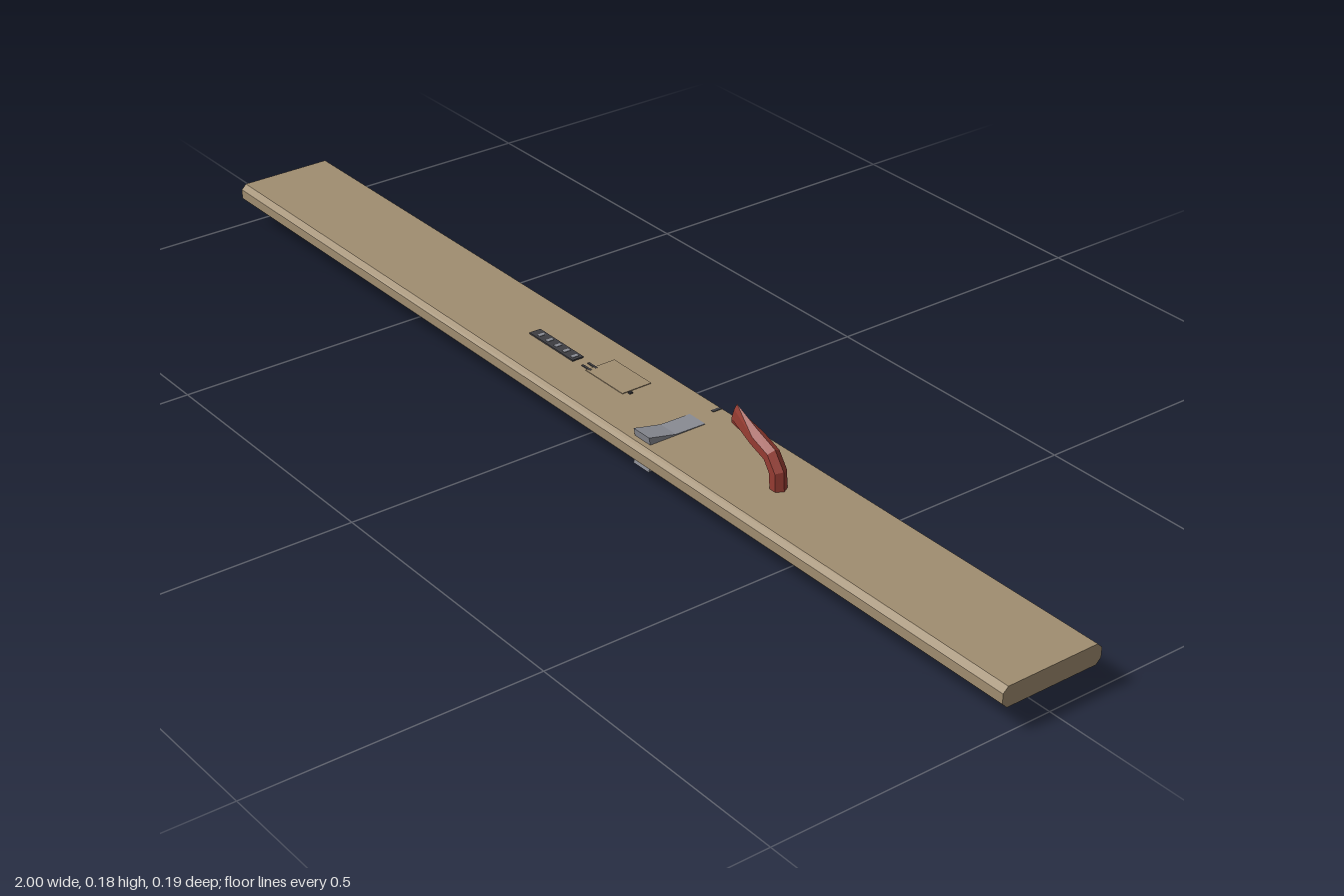
import * as THREE from 'three';

const mat = (name, color, extra = {}) => {
  const m = new THREE.MeshStandardMaterial({ color, ...extra });
  m.name = name;
  return m;
};

// Extrudes a closed outline of [z, y] points along x, between x0 and x1
function extrudeAlongX(outline, x0, x1) {
  const shape = new THREE.Shape(outline.map(([z, y]) => new THREE.Vector2(-z, y)));
  const geo = new THREE.ExtrudeGeometry(shape, { depth: x1 - x0, bevelEnabled: false });
  return geo.rotateY(Math.PI / 2).translate(x0, 0, 0);
}

// Six-sided bar swept through stations [x, y, half height, half width]
function hexBar(stations) {
  const pos = [], idx = [], n = 6;
  stations.forEach(([x, y, h, w], i) => {
    const a = stations[Math.max(i - 1, 0)], b = stations[Math.min(i + 1, stations.length - 1)];
    const t = new THREE.Vector2(b[0] - a[0], b[1] - a[1]).normalize();
    for (let k = 0; k < n; k++) {
      const ang = (k / n) * Math.PI * 2;
      const up = Math.cos(ang) * h, side = Math.sin(ang) * w / 0.866;
      pos.push(x - t.y * up, y + t.x * up, side);
    }
  });
  for (let i = 0; i < stations.length - 1; i++) {
    for (let k = 0; k < n; k++) {
      const a = i * n + k, b = i * n + (k + 1) % n;
      idx.push(a, b, b + n, a, b + n, a + n);
    }
  }
  const last = (stations.length - 1) * n;
  for (let k = 1; k < n - 1; k++) {
    idx.push(0, k + 1, k, last, last + k, last + k + 1);
  }
  const geo = new THREE.BufferGeometry();
  geo.setAttribute('position', new THREE.Float32BufferAttribute(pos, 3));
  geo.setIndex(idx);
  const flat = geo.toNonIndexed();
  flat.computeVertexNormals();
  return flat;
}

export function createModel() {
  const root = new THREE.Group();
  root.name = 'plankWithTools';
  const wood = mat('wood', 0xa08d70);
  const red = mat('redPaint', 0x963c32, { flatShading: true, side: THREE.DoubleSide });
  const steel = mat('steel', 0x8a8c94);
  const dark = mat('darkSteel', 0x3e3e42);

  const add = (parent, name, geo, material) => {
    const mesh = new THREE.Mesh(geo, material);
    mesh.name = name;
    parent.add(mesh);
    return mesh;
  };
  const box = (parent, name, material, [x0, x1], [y0, y1], [z0, z1]) =>
    add(parent, name, new THREE.BoxGeometry(x1 - x0, y1 - y0, z1 - z0)
      .translate((x0 + x1) / 2, (y0 + y1) / 2, (z0 + z1) / 2), material);

  // Plank with chamfered long edges
  const [lo, hi, half, c] = [0.045, 0.08, 0.094, 0.009];
  add(root, 'plank', extrudeAlongX([
    [-half, lo + c], [-half + c, lo], [half - c, lo], [half, lo + c],
    [half, hi - c], [half - c, hi], [-half + c, hi], [-half, hi - c],
  ], -1, 1), wood);

  // Crowbar: flattened ends, straight shank below, hook coming up through the plank
  add(root, 'crowbar', hexBar([
    [-0.5, 0.022, 0.02, 0.003], [-0.4, 0.023, 0.014, 0.012],
    [0.355, 0.023, 0.014, 0.012], [0.385, 0.032, 0.014, 0.012],
    [0.405, 0.052, 0.014, 0.012], [0.413, 0.08, 0.014, 0.012],
    [0.411, 0.108, 0.014, 0.012], [0.395, 0.13, 0.014, 0.012],
    [0.36, 0.143, 0.014, 0.012], [0.305, 0.161, 0.02, 0.003],
  ]), red);

  // Clip: a flat plate with a flared lip on each face
  const clip = new THREE.Group();
  clip.name = 'clip';
  root.add(clip);
  for (const [name, s] of [['upperJaw', 1], ['lowerJaw', -1]]) {
    const outline = [[-0.033, 0.015], [0.075, 0.015], [0.078, 0.031], [0.025, 0.0195], [-0.033, 0.0185]]
      .map(([z, y]) => [z, 0.0625 + s * y]);
    add(clip, name, extrudeAlongX(outline, 0.156, 0.195), steel);
  }
  box(clip, 'pin', dark, [0.167, 0.173], [0.078, 0.081], [-0.083, -0.067]);

  // Flat tool let into the plank: ribbed handle, neck, blade
  const tool = new THREE.Group();
  tool.name = 'flatTool';
  root.add(tool);
  box(tool, 'handle', dark, [-0.215, -0.095], [0.0425, 0.0825], [-0.011, 0.011]);
  for (let i = 0; i < 5; i++) {
    const x = -0.2 + i * 0.023;
    box(tool, 'handleRib', steel, [x, x + 0.007], [0.042, 0.0832], [-0.006, 0.006]);
  }
  for (const z of [-0.006, 0.006]) {
    box(tool, 'neck', dark, [-0.075, -0.052], [0.0425, 0.0815], [z - 0.002, z + 0.002]);
  }
  box(tool, 'topPlate', wood, [-0.058, 0.04], [0.078, 0.0812], [-0.046, 0.012]);
  box(tool, 'pivot', dark, [0.043, 0.048], [0.078, 0.0825], [-0.003, 0.003]);
  box(tool, 'bottomPlate', dark, [-0.12, 0.1], [0.0425, 0.047], [-0.067, 0.0]);

  return root;
}
